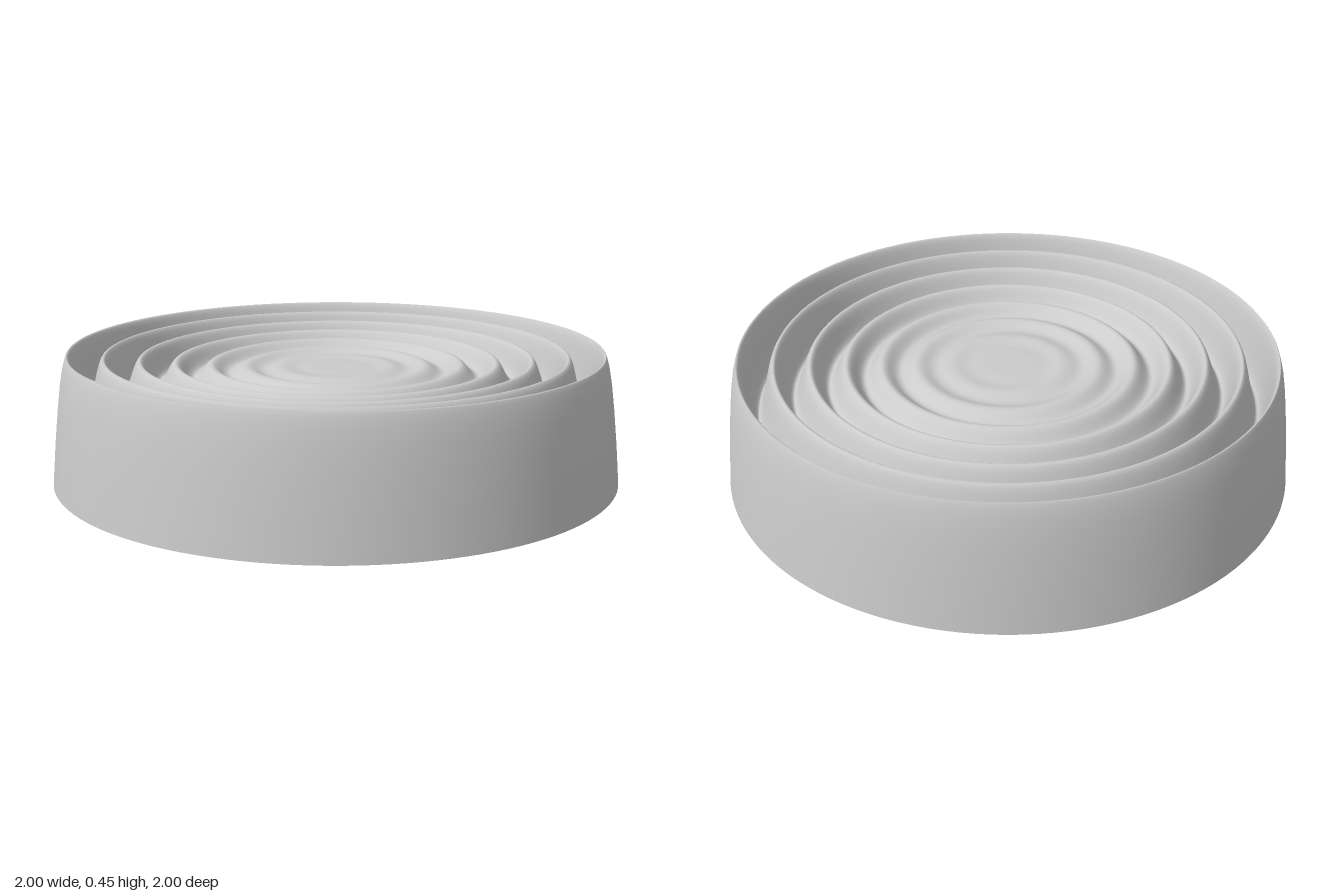
import * as THREE from 'three';

const PERIOD = 0.125; // spacing of the ripples
const RIM = 7.5 * PERIOD; // the outermost crest is the rim
const CENTRE_Y = 0.38;

// Height of the rippled top: a wave between a crest and a trough envelope
function rippleHeight(r) {
  const crest = CENTRE_Y + 0.08 * r ** 2;
  const trough = CENTRE_Y - 0.13 * r ** 2 - 0.06 * r ** 6;
  const t = 0.5 - 0.5 * Math.cos((2 * Math.PI * r) / PERIOD);
  return trough + (crest - trough) * t;
}

export function createModel() {
  const model = new THREE.Group();
  model.name = 'rippledDish';

  // Flared outer wall, from the open base up to the rim
  const profile = [
    [1, 0], [0.987, 0.145], [0.974, 0.265], [0.963, 0.35],
    [0.953, 0.405], [0.945, 0.433], [0.941, 0.446],
  ].map(([r, y]) => new THREE.Vector2(r, y));

  // Concentric ripples, from the rim in to the centre
  const steps = 150;
  for (let i = steps; i >= 0; i--) {
    const r = (RIM * i) / steps;
    profile.push(new THREE.Vector2(r, rippleHeight(r)));
  }

  // One thin skin, open underneath
  const shell = new THREE.Mesh(
    new THREE.LatheGeometry(profile, 128),
    new THREE.MeshStandardMaterial({ color: 0xcccccc, side: THREE.DoubleSide })
  );
  shell.name = 'rippledShell';
  model.add(shell);
  return model;
}
